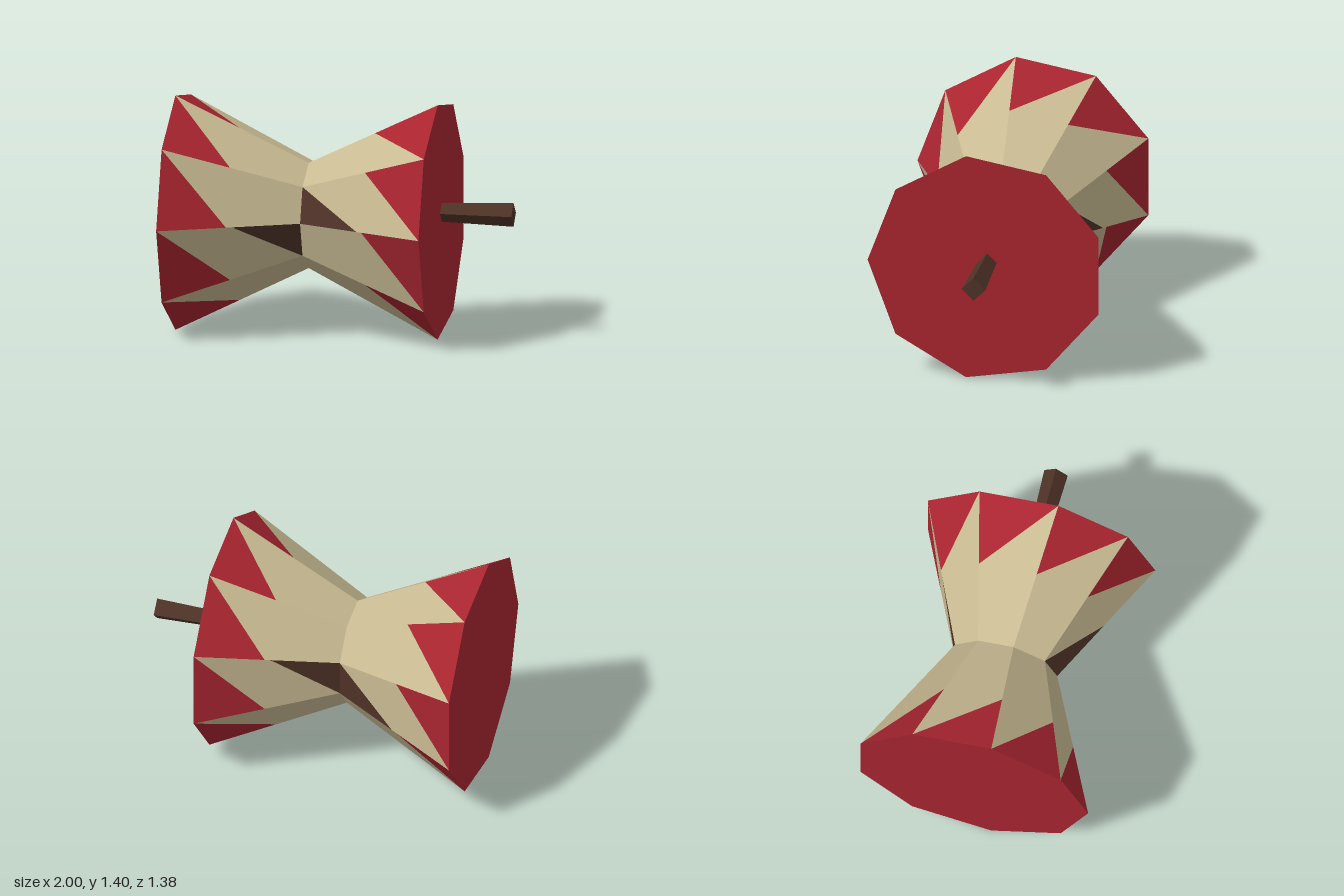
import * as THREE from 'three';

const SIDES = 9, RIM = 0.712, WAIST = 0.32, WAIST_X = -0.215;
const CY = 0.705, CZ = -0.017;

export function createModel() {
  const model = new THREE.Group();
  const red = new THREE.MeshStandardMaterial({ color: 0xa92530 });
  red.name = 'red';
  const tan = new THREE.MeshStandardMaterial({ color: 0xc8ba92 });
  tan.name = 'tan';
  const brown = new THREE.MeshStandardMaterial({ color: 0x4e3227 });
  brown.name = 'dark brown';

  const add = (name, geometry, material) => {
    const mesh = new THREE.Mesh(geometry, material);
    mesh.name = name;
    model.add(mesh);
    return mesh;
  };

  // Corner i of the nine-sided ring at a given x
  const corner = (x, radius, i) => {
    const a = (i * Math.PI * 2) / SIDES;
    return new THREE.Vector3(x, CY + radius * Math.sin(a), CZ + radius * Math.cos(a));
  };

  // Flat-shaded geometry from triangles, each turned away from the axis
  const facets = (triangles) => {
    const points = [];
    for (const [a, b, c] of triangles) {
      const normal = b.clone().sub(a).cross(c.clone().sub(a));
      const out = a.clone().add(b).add(c).divideScalar(3).sub(new THREE.Vector3(0, CY, CZ));
      out.x = 0;
      points.push(...(normal.dot(out) > 0 ? [a, b, c] : [a, c, b]));
    }
    const geometry = new THREE.BufferGeometry().setFromPoints(points);
    geometry.computeVertexNormals();
    return geometry;
  };

  // Each half flares from the waist; every panel has a red tooth at the rim,
  // and a few have a dark tooth at the waist
  const halves = [
    { name: 'left', x: 0.57, side: 1, dark: [0, 4] },
    { name: 'right', x: -1, side: -1, dark: [4, 8] },
  ];
  for (const { name, x, side, dark } of halves) {
    const redTris = [], tanTris = [], darkTris = [];
    for (let i = 0; i < SIDES; i++) {
      const a = side > 0 ? i + 1 : i;
      const b = side > 0 ? i : i + 1;
      const rimA = corner(x, RIM, a), rimB = corner(x, RIM, b);
      const waistA = corner(WAIST_X, WAIST, a), waistB = corner(WAIST_X, WAIST, b);
      const redTip = rimA.clone().lerp(waistA, 0.485);
      const darkTip = waistB.clone().lerp(rimB, 0.475);
      redTris.push([rimA, rimB, redTip]);
      tanTris.push([rimB, redTip, waistA], [rimB, waistA, darkTip]);
      (dark.includes(i) ? darkTris : tanTris).push([darkTip, waistA, waistB]);
    }
    add(name + 'RimTeeth', facets(redTris), red);
    add(name + 'Panels', facets(tanTris), tan);
    add(name + 'WaistTeeth', facets(darkTris), brown);

    // End cap
    const cap = add(name + 'Cap', new THREE.CircleGeometry(RIM, SIDES, side > 0 ? Math.PI : 0), red);
    cap.rotation.y = (side * Math.PI) / 2;
    cap.position.set(x, CY, CZ);
  }

  // Four-sided handle, slightly wider at its free end
  const handleShape = new THREE.CylinderGeometry(0.071, 0.056, 0.44, 4).toNonIndexed();
  handleShape.computeVertexNormals();
  const handle = add('handle', handleShape, brown);
  handle.rotation.z = -Math.PI / 2;
  handle.position.set(0.78, 0.742, -0.02);

  return model;
}
